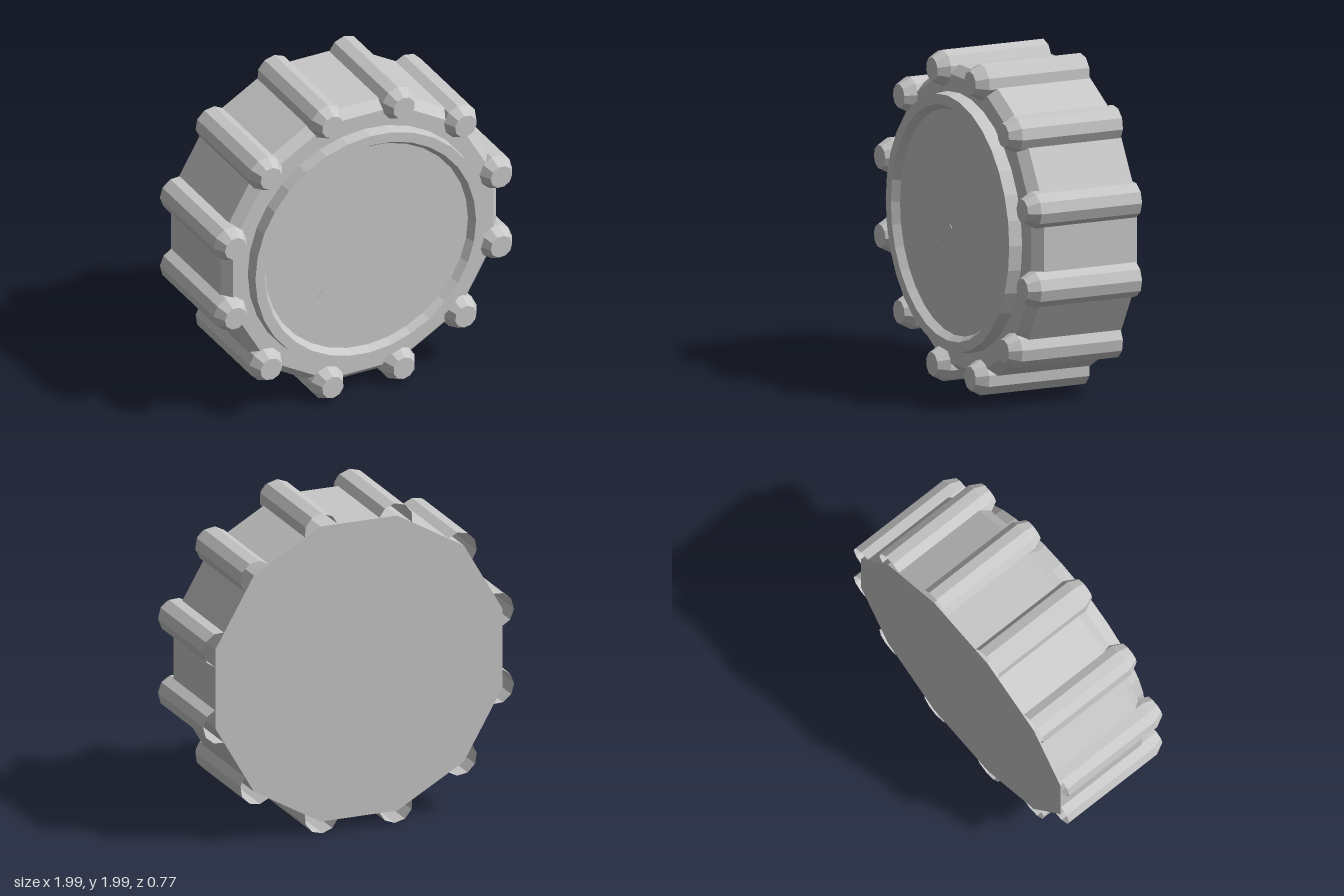
import * as THREE from 'three';

const CY = 1.0; // height of the dial axis

// Faceted solid of revolution around z; profile is [radius, z] from back to front
function faceted(profile, sides, start = 0) {
  const pts = profile.map(([r, z]) => new THREE.Vector2(r, z));
  const geo = new THREE.LatheGeometry(pts, sides, start).rotateX(Math.PI / 2).toNonIndexed();
  geo.computeVertexNormals();
  return geo;
}

export function createModel() {
  const group = new THREE.Group();
  group.name = 'knob';
  // Double sided because the grips are open tubes at the back
  const grey = new THREE.MeshStandardMaterial({ color: 0xc8c8c8, side: THREE.DoubleSide });

  const add = (name, geo, x = 0, y = CY, z = 0) => {
    const mesh = new THREE.Mesh(geo, grey);
    mesh.name = name;
    mesh.position.set(x, y, z);
    group.add(mesh);
    return mesh;
  };

  // Twelve-sided body with a chamfered front edge
  const c = Math.cos(Math.PI / 12);
  add('body', faceted([
    [0, -0.385], [0.92 / c, -0.385], [0.92 / c, 0.235], [0.868 / c, 0.292], [0, 0.292],
  ], 12, Math.PI / 12));

  // Grips along the body corners, tapered at the front and open at the back
  const gripGeo = faceted([[0.11, -0.38], [0.11, 0.29], [0.072, 0.362], [0, 0.362]], 10);
  for (let i = 0; i < 12; i++) {
    const a = (i + 0.5) * Math.PI / 6;
    const grip = add('grip', gripGeo, 0.918 * Math.cos(a), CY + 0.918 * Math.sin(a));
    grip.rotation.z = a;
  }

  // Raised rim with a sloping inner wall, standing just clear of the body
  add('rim', faceted([
    [0.68, 0.303], [0.775, 0.303], [0.768, 0.385], [0.705, 0.385], [0.675, 0.34],
  ], 32), 0, 1.005);

  // Recessed dial face
  add('dialFace', faceted([[0.68, 0.335], [0.675, 0.34], [0, 0.34]], 32), 0, 1.005);

  // Flat pointer, narrowing to a tip at the lower left
  const needle = new THREE.Shape([[0, 0.013], [0, -0.013], [0.33, -0.013], [0.39, 0], [0.33, 0.013]]
    .map(([x, y]) => new THREE.Vector2(x, y)));
  const needleGeo = new THREE.ExtrudeGeometry(needle, { depth: 0.006, bevelEnabled: false });
  const pointer = add('pointer', needleGeo, -0.035, 0.975, 0.338);
  pointer.rotation.z = Math.PI + Math.atan2(0.245, 0.305);

  return group;
}
